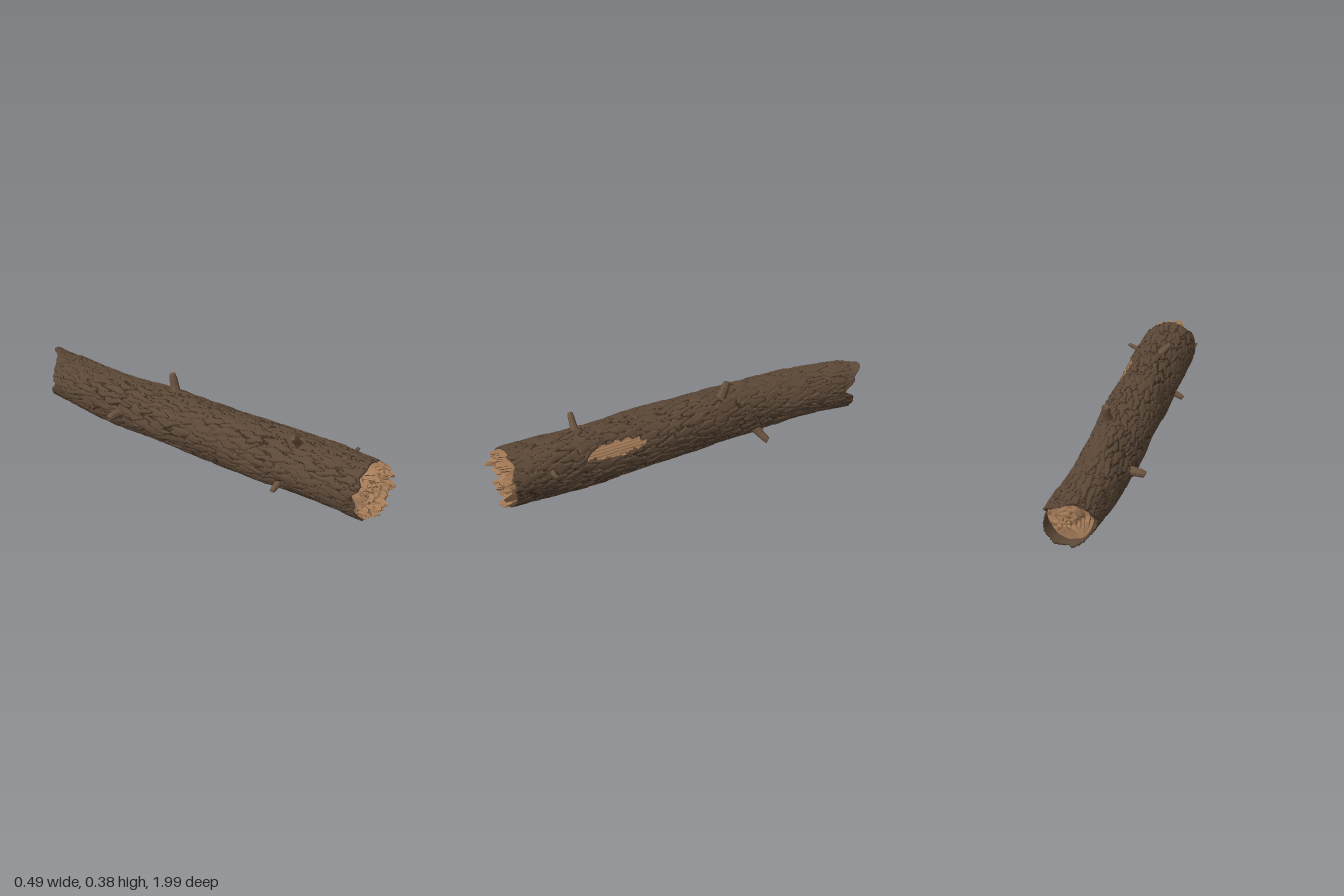
import * as THREE from 'three';

const TAU = Math.PI * 2;
const hash = (a, b, k = 0) => {
  const s = Math.sin(a * 127.1 + b * 311.7 + k * 74.7) * 43758.5453;
  return s - Math.floor(s);
};
const smooth = (a, b, x) => THREE.MathUtils.smoothstep(x, a, b);
const bump = (theta, at, width) => {
  const d = Math.atan2(Math.sin(theta - at), Math.cos(theta - at));
  return Math.exp(-(d * d) / (width * width));
};

// Cell pattern: nearest and second nearest distance, cell id and offset; wrap repeats it in u
function cells(u, v, wrap = 0) {
  const iu = Math.floor(u), iv = Math.floor(v);
  const best = { f1: 9, f2: 9 };
  for (let a = iu - 1; a <= iu + 1; a++) for (let b = iv - 1; b <= iv + 1; b++) {
    const h = wrap ? ((a % wrap) + wrap) % wrap : a;
    const du = u - a - 0.1 - 0.8 * hash(h, b, 1), dv = v - b - 0.1 - 0.8 * hash(h, b, 2);
    const d = Math.hypot(du, dv);
    if (d < best.f1) Object.assign(best, { f2: best.f1, f1: d, id: [h, b], du, dv });
    else if (d < best.f2) best.f2 = d;
  }
  return best;
}

// Trunk centre (x, y) and radius (z of the vector), evenly spaced from front to back
const spine = new THREE.CatmullRomCurve3([
  [0.065, 0.155, 0.144], [0.045, 0.157, 0.145], [0.012, 0.16, 0.143],
  [-0.025, 0.167, 0.136], [-0.05, 0.167, 0.126], [-0.04, 0.164, 0.115],
].map(p => new THREE.Vector3(...p)));
const trunkAt = z => spine.getPoint(THREE.MathUtils.clamp((1 - z) / 2, 0, 1));
const around = (theta, z, scale, extra = 0) => {
  const c = trunkAt(z), r = c.z * scale + extra;
  return [c.x + r * Math.cos(theta), c.y + r * Math.sin(theta), z];
};

// Closed-around surface from rows of points; kind() picks the material of each quad
function surface(rows, cols, point, kind = () => 0) {
  const pos = [], faces = [[], [], []];
  for (let i = 0; i <= rows; i++) for (let j = 0; j < cols; j++) pos.push(...point(i, j / cols * TAU));
  for (let i = 0; i < rows; i++) for (let j = 0; j < cols; j++) {
    const k = (j + 1) % cols;
    const a = i * cols + j, b = a + cols, c = i * cols + k, d = c + cols;
    faces[kind(i, (j + 0.5) / cols * TAU)].push(a, b, c, b, d, c);
  }
  const g = new THREE.BufferGeometry();
  g.setAttribute('position', new THREE.Float32BufferAttribute(pos, 3));
  g.setIndex(faces.flat());
  let start = 0;
  faces.forEach((f, m) => { if (f.length) g.addGroup(start, f.length, m); start += f.length; });
  g.computeVertexNormals();
  return g;
}

// Bark relief at an angle and z
function barkCell(theta, z) {
  const wob = 0.25 * Math.sin(z * 31 + theta * 3) + 0.15 * Math.sin(z * 73 + theta * 5);
  return cells(theta / TAU * 22 + wob, z * 7.5 + 0.25 * Math.sin(theta * 17 + z * 9), 22);
}
function inPatch(theta, z) {
  const c = barkCell(theta, z);
  const t = theta > Math.PI ? theta - TAU : theta;
  const edge = 0.85 + 0.25 * hash(...c.id, 7) + 0.12 * Math.sin(z * 90 + theta * 20);
  return Math.hypot((t - 0.53) / 0.25, (z - 0.405) / 0.145) < edge;
}
const jag = (theta, n, k) => {
  const u = theta / TAU * n, i = Math.floor(u);
  return THREE.MathUtils.lerp(hash(i % n, k), hash((i + 1) % n, k), u - i);
};
const frontEnd = t => 0.905 + 0.035 * jag(t, 30, 3);
const backEnd = t => -0.915 - 0.075 * bump(t, 1.2, 0.45) + 0.055 * bump(t, 2.9, 0.65)
  + 0.045 * bump(t, 0.15, 0.25) - 0.025 * jag(t, 34, 5);

function barkGeometry() {
  const rows = 280, cols = 176;
  const zAt = (i, t) => THREE.MathUtils.lerp(frontEnd(t), backEnd(t), THREE.MathUtils.clamp((i - 2) / (rows - 4), 0, 1));
  const point = (i, t) => {
    const z = zAt(i, t);
    // Inner lips at both ends give the bark its thickness
    if (i === 0 || i === rows) return around(t, z + (i ? 0.1 : -0.05), 0.87);
    const flare = 0.022 * bump(t, 1.2, 0.5) * smooth(0.85, 0.99, -z);
    if (i === 1 || i === rows - 1) return around(t, z, 0.9, flare);
    if (inPatch(t, z)) return around(t, z, 0.94, 0.001 * Math.sin(t * 60));
    const c = barkCell(t, z);
    const plate = smooth(0, 0.22, c.f2 - c.f1);
    const lift = 0.004 * hash(...c.id, 4) + 0.005 * c.dv * (hash(...c.id, 5) - 0.5) + 0.004 * c.du;
    const lump = 0.003 * Math.sin(t * 3 + z * 8) + 0.002 * Math.sin(t * 5 - z * 13);
    return around(t, z, 0.985, -0.004 + plate * (0.005 + lift) + lump);
  };
  const kind = (i, t) => {
    const z = zAt(i + 0.5, t);
    if (i < 2 || i > rows - 3) return 0;
    if (inPatch(t, z)) return 2;
    const c = barkCell(t, z);
    return c.f2 - c.f1 < 0.11 * hash(...c.id, 9) ? 1 : 0;
  };
  return surface(rows, cols, point, kind);
}

// Broken front: splintered blocks with random depth and tilt
function frontWoodGeometry() {
  const rings = 30;
  return surface(rings + 1, 84, (i, t) => {
    const s = Math.min(i / rings, 1) * (0.93 + 0.04 * jag(t, 40, 8));
    if (i > rings) return around(t, 0.85, 0.9);
    const p = around(t, 0.94, s);
    const c = cells(p[0] * 42 + 0.4 * Math.sin(p[1] * 70), p[1] * 60);
    const h = hash(...c.id, 3);
    p[2] = 0.912 + 0.055 * h * h + 0.035 * (c.du * (hash(...c.id, 5) - 0.5) + c.dv * (hash(...c.id, 6) - 0.5))
      + 0.028 * smooth(0.6, 0.95, s) * jag(t, 17, 6);
    return p;
  });
}

// Broken back: stepped growth rings rising to an off-centre tip
function backWoodGeometry() {
  const steps = 7, rows = steps * 2 + 1;
  return surface(rows, 60, (i, t) => {
    if (i === 0) return around(t, -0.78, 0.9);
    const ring = Math.floor(i / 2), tread = Math.floor((i - 1) / 2);
    const s = 0.93 * (1 - ring / steps) * (1 + 0.05 * Math.sin(t * 3 + ring) + 0.04 * (jag(t, 20, ring) - 0.5));
    const p = around(t, -0.9, s);
    p[0] += 0.012 * ring / steps;
    p[2] = -0.87 - 0.078 * tread / steps - 0.014 * jag(t, 24, tread + 20)
      + 0.02 * bump(t, 2.9, 0.7) * (1 - tread / steps);
    return p;
  });
}

// Snapped twig with a flared foot and a slanted end
function twig(base, tip, radius, material) {
  const a = new THREE.Vector3(...base), dir = new THREE.Vector3(...tip).sub(a), len = dir.length();
  const profile = [[1.5, -0.15], [1.12, 0.2], [1, 0.45], [0.95, 0.75], [0.72, 1], [0, 0.95]]
    .map(([r, h]) => new THREE.Vector2(r * radius, h * len));
  const g = new THREE.LatheGeometry(profile, 9);
  const p = g.attributes.position;
  for (let i = 0; i < p.count; i++) {
    const h = p.getY(i) / len;
    if (h > 0.9) p.setY(i, p.getY(i) + p.getX(i) * 0.35);
    p.setX(i, p.getX(i) + radius * 0.15 * Math.sin(h * 3));
  }
  const mesh = new THREE.Mesh(g, material);
  mesh.position.copy(a);
  mesh.quaternion.setFromUnitVectors(new THREE.Vector3(0, 1, 0), dir.normalize());
  return mesh;
}

export function createModel() {
  const mat = (name, color, extra) => Object.assign(new THREE.MeshStandardMaterial({ color, ...extra }), { name });
  const bark = mat('bark', 0x5c4837, { side: THREE.DoubleSide });
  const crack = mat('bark crack', 0x3a2c21);
  const wood = mat('bare wood', 0xa57c58, { flatShading: true, side: THREE.DoubleSide });
  const twigBark = mat('twig bark', 0x69523f, { flatShading: true });

  const log = new THREE.Group();
  log.name = 'log';
  const add = (name, mesh) => { mesh.name = name; log.add(mesh); };
  add('bark', new THREE.Mesh(barkGeometry(), [bark, crack, wood]));
  add('frontBrokenWood', new THREE.Mesh(frontWoodGeometry(), wood));
  add('backGrowthRings', new THREE.Mesh(backWoodGeometry(), wood));

  // Base, tip and radius of each twig
  const twigs = [
    [[0.015, 0.28, -0.2], [0.025, 0.375, -0.23], 0.022],
    [[0.0, 0.285, 0.56], [-0.053, 0.35, 0.56], 0.017],
    [[-0.16, 0.17, -0.42], [-0.24, 0.168, -0.425], 0.021],
    [[-0.075, 0.1, 0.51], [-0.138, 0.074, 0.51], 0.016],
    [[0.185, 0.205, 0.735], [0.24, 0.222, 0.74], 0.011],
    [[0.06, 0.085, -0.38], [0.115, 0.035, -0.42], 0.02],
  ];
  twigs.forEach(([base, tip, r], i) => add('twig' + (i + 1), twig(base, tip, r, twigBark)));
  return log;
}
